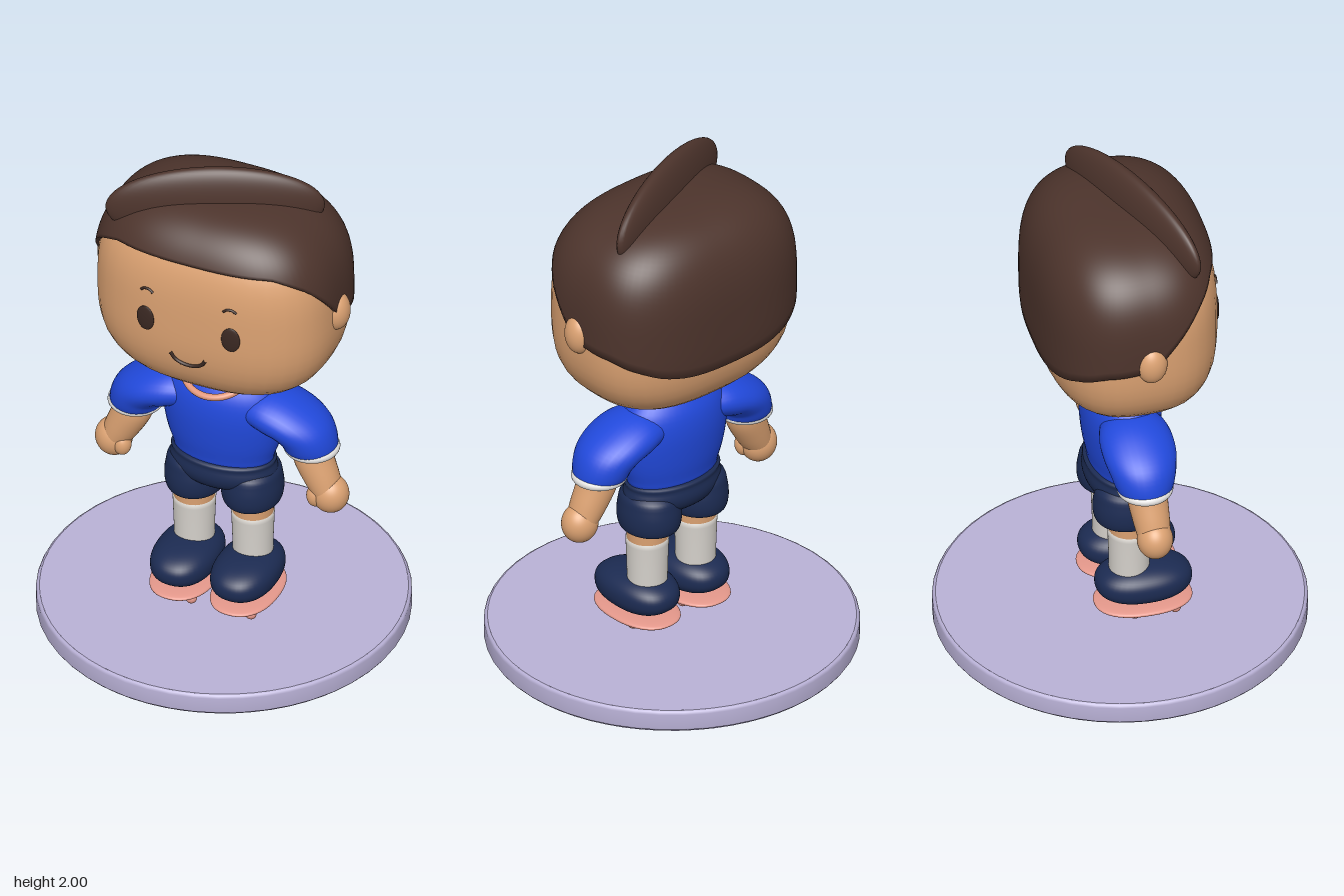
import * as THREE from 'three';
import { mergeVertices } from 'three/addons/utils/BufferGeometryUtils.js';

const mat = (name, color) => new THREE.MeshStandardMaterial({ name, color });

// Grid of points (rows x seg around) closed into a smooth tube
function grid(rows, seg, point) {
  const pos = [], idx = [];
  for (let i = 0; i < rows; i++)
    for (let j = 0; j < seg; j++) pos.push(...point(i, (j / seg) * Math.PI * 2));
  for (let i = 0; i < rows - 1; i++)
    for (let j = 0; j < seg; j++) {
      const k = (j + 1) % seg, a = i * seg, b = a + seg;
      idx.push(a + j, a + k, b + j, a + k, b + k, b + j);
    }
  const g = new THREE.BufferGeometry();
  g.setAttribute('position', new THREE.Float32BufferAttribute(pos, 3));
  g.setIndex(idx);
  const m = mergeVertices(g);
  m.computeVertexNormals();
  return m;
}

// Rounded-box-like ellipsoid: n squares the plan, m squares the elevation
function blob(a, b, c, n = 2, m = 2) {
  let g = new THREE.SphereGeometry(1, 48, 32);
  const p = g.attributes.position;
  for (let i = 0; i < p.count; i++) {
    const x = p.getX(i), y = p.getY(i), z = p.getZ(i);
    const h = (Math.abs(x) ** n + Math.abs(z) ** n) ** (1 / n);
    const r = (h ** m + Math.abs(y) ** m) ** (-1 / m);
    p.setXYZ(i, x * r * a, y * r * b, z * r * c);
  }
  g.deleteAttribute('uv');
  g.deleteAttribute('normal');
  g = mergeVertices(g, 1e-5);
  g.computeVertexNormals();
  return g;
}

// Limb from sections [x, y, z, heading in degrees, radius, depth radius]
function limb(sections, s) {
  const ctrl = sections.map(q => q.slice());
  const mix = (q, k, t) => {
    const i = Math.min(Math.floor(t), q.length - 2), f = t - i;
    const v = j => q[Math.max(0, Math.min(q.length - 1, j))][k];
    const [a, b, c, d] = [v(i - 1), v(i), v(i + 1), v(i + 2)];
    return b + 0.5 * f * (c - a + f * (2 * a - 5 * b + 4 * c - d + f * (3 * (b - c) + d - a)));
  };
  const rows = (sections.length - 1) * 6 + 1;
  return grid(rows, 32, (i, a) => {
    const [x, y, z, deg, r, rz] = [0, 1, 2, 3, 4, 5].map(k => mix(ctrl, k, i / 6));
    const p = s > 0 ? deg * Math.PI / 180 : Math.PI - deg * Math.PI / 180;
    const c = Math.cos(a) * r;
    return [s * x - Math.sin(p) * c, y + Math.cos(p) * c, z + Math.sin(a) * rz];
  });
}

const lathe = (pts, smooth = true) => {
  let v = pts.map(([r, y]) => new THREE.Vector2(r, y));
  if (smooth) v = new THREE.SplineCurve(v).getPoints(24);
  return new THREE.LatheGeometry(v, 48);
};

// Head dimensions
const HY = 1.475, HA = 0.46, HB = 0.385, HC = 0.325, N = 2.7, M = 3;
const faceZ = (x, y) => {
  const h = (1 - Math.abs((y - HY) / HB) ** M) ** (1 / M);
  return HC * (h ** N - Math.abs(x / HA) ** N) ** (1 / N);
};

// Height of the hairline for each depth z
const LINE = [[-0.34, 1.31], [-0.26, 1.375], [-0.17, 1.42], [-0.03, 1.44], [0.02, 1.46],
  [0.08, 1.53], [0.19, 1.66], [0.26, 1.725], [0.36, 1.74]];
function hairline(z) {
  for (let i = 1; i < LINE.length; i++) {
    const [z0, y0] = LINE[i - 1], [z1, y1] = LINE[i];
    if (z <= z1) return y0 + (y1 - y0) * Math.max(0, (z - z0) / (z1 - z0));
  }
  return 1.74;
}

function hairCap() {
  const A = HA + 0.012, B = HB + 0.02, C = HC + 0.016, rows = 32;
  return grid(rows + 1, 96, (i, a) => {
    const c = Math.cos(a), d = -Math.sin(a);
    const k = (Math.abs(c) ** N + Math.abs(d) ** N) ** (-1 / N);
    const width = t => Math.max(0, 1 - Math.abs(t) ** M) ** (1 / M);
    let t0 = 0.2;
    for (let n = 0; n < 8; n++) t0 = (hairline(d * k * C * width(t0)) - HY) / B;
    const s = Math.max(0, i - 1) / (rows - 1);
    const t = 1 - (1 - t0) * (1 - s) ** 2.2;
    const w = width(t) * k * (i === 0 ? 0.94 : 1);
    return [c * w * A, HY + B * t, d * w * C];
  });
}

export function createModel() {
  const root = new THREE.Group();
  const skin = mat('skin', 0xdca272), hair = mat('hair brown', 0x4d342c);
  const blue = mat('shirt blue', 0x2149dc), navy = mat('navy', 0x1c2b52);
  const white = mat('cuff white', 0xe6e4e2), sock = mat('sock grey', 0xd6d2cc);
  const pink = mat('sole pink', 0xe3978a), collarMat = mat('collar coral', 0xe2977a);
  const lilac = mat('base lilac', 0xb9b1d6), dark = mat('face dark', 0x3a2822);

  const add = (name, geo, material, x = 0, y = 0, z = 0) => {
    const m = new THREE.Mesh(geo, material);
    m.name = name;
    m.position.set(x, y, z);
    root.add(m);
    return m;
  };

  // Base
  const base = new THREE.Shape();
  base.moveTo(0, 0);
  add('baseSide', lathe([[0.672, 0.005], [0.68, 0.008], [0.685, 0.016], [0.685, 0.074],
    [0.68, 0.083], [0.672, 0.087]], false), lilac);
  add('baseTop', new THREE.CircleGeometry(0.672, 64), lilac, 0, 0.087, 0).rotation.x = -Math.PI / 2;
  add('baseBottom', new THREE.CylinderGeometry(0.672, 0.672, 0.005, 64), lilac, 0, 0.0025, 0);

  // Head and hair
  add('head', blob(HA, HB, HC, N, M), skin, 0, HY, 0);
  add('hair', hairCap(), hair);
  const quiff = add('quiff', blob(0.4, 0.17, 0.058), hair, -0.015, 1.828, 0.045);
  quiff.rotation.set(0, Math.atan2(0.31, 0.745), 0.04);

  // Mouth
  const arc = (pts, r) => new THREE.TubeGeometry(new THREE.CatmullRomCurve3(
    pts.map(([x, y]) => new THREE.Vector3(x, y, faceZ(x, y) + 0.001))), 24, r, 8);
  add('mouth', arc([[-0.07, 1.335], [-0.053, 1.308], [-0.028, 1.294], [0, 1.29],
    [0.028, 1.294], [0.053, 1.308], [0.07, 1.335]], 0.007), dark);

  // Torso, neck ring and hips
  add('shirt', lathe([[0.001, 0.695], [0.17, 0.695], [0.2, 0.74], [0.224, 0.82], [0.236, 0.92],
    [0.222, 1.0], [0.18, 1.055], [0.12, 1.1]]), blue).scale.z = 0.61;
  add('neck', new THREE.CylinderGeometry(0.1, 0.1, 0.1, 32), skin, 0, 1.09, 0).scale.z = 0.6;
  add('collar', new THREE.TorusGeometry(0.128, 0.013, 12, 48), collarMat, 0, 1.102, 0.048)
    .rotation.x = Math.PI / 2 + 0.42;
  add('hips', lathe([[0.001, 0.57], [0.1, 0.575], [0.18, 0.61], [0.208, 0.65], [0.2, 0.69],
    [0.185, 0.715], [0.001, 0.72]]), navy).scale.z = 0.65;

  for (const s of [1, -1]) {
    const side = s > 0 ? 'left' : 'right';
    // Face details
    add(side + 'Ear', blob(0.05, 0.078, 0.057), skin, s * 0.45, 1.465, 0);
    add(side + 'Eye', blob(0.036, 0.052, 0.008), dark, s * 0.17, 1.457, faceZ(0.17, 1.457) + 0.002)
      .rotation.y = s * 0.12;
    add(side + 'Brow', arc([[s * 0.14, 1.577], [s * 0.155, 1.587], [s * 0.175, 1.587],
      [s * 0.19, 1.577]], 0.005), dark);

    // Sleeve, cuff, arm and hand
    add(side + 'Sleeve', limb([[0.1, 0.96, 0, 0, 0.06, 0.1], [0.19, 0.955, 0, -5, 0.078, 0.13],
      [0.275, 0.93, 0, -40, 0.082, 0.135], [0.33, 0.885, 0, -68, 0.097, 0.122],
      [0.35, 0.825, 0, -88, 0.096, 0.1], [0.352, 0.822, 0, -88, 0.06, 0.06]], s), blue);
    add(side + 'Cuff', new THREE.TorusGeometry(0.086, 0.018, 16, 48), white, s * 0.351, 0.826, 0)
      .rotation.x = Math.PI / 2;
    add(side + 'Arm', limb([[0.345, 0.86, 0, -80, 0.07, 0.07], [0.358, 0.79, 0.006, -72, 0.073, 0.074],
      [0.395, 0.71, 0.012, -68, 0.066, 0.068], [0.425, 0.65, 0.016, -68, 0.055, 0.06]], s), skin);
    add(side + 'Hand', blob(0.07, 0.076, 0.066), skin, s * 0.432, 0.645, 0.016);
    add(side + 'Thumb', blob(0.034, 0.045, 0.034), skin, s * 0.386, 0.64, 0.045);

    // Shorts, leg and sock
    add(side + 'ShortsLeg', lathe([[0.07, 0.53], [0.085, 0.515], [0.104, 0.525], [0.113, 0.565],
      [0.109, 0.62], [0.09, 0.67], [0.001, 0.7]]), navy, s * 0.113, 0, -0.003).scale.z = 1.13;
    add(side + 'Leg', new THREE.CylinderGeometry(0.079, 0.075, 0.16, 40), skin, s * 0.117, 0.5, 0.003);
    add(side + 'Sock', lathe([[0.074, 0.23], [0.075, 0.34], [0.079, 0.45], [0.08, 0.468],
      [0.07, 0.472]], false), sock, s * 0.117, 0, 0.003);

    // Shoe, sole and studs
    add(side + 'Shoe', blob(0.12, 0.075, 0.18, 2.3, 2.4), navy, s * 0.12, 0.235, 0.055);
    add(side + 'Sole', blob(0.122, 0.017, 0.183, 2.3, 2.6), pink, s * 0.121, 0.147, 0.053);
    for (const x of [0.058, 0.18])
      for (const z of [0.16, 0.008])
        add(side + 'Stud', new THREE.SphereGeometry(0.021, 16, 12), pink, s * x, 0.119, z);
  }
  return root;
}
